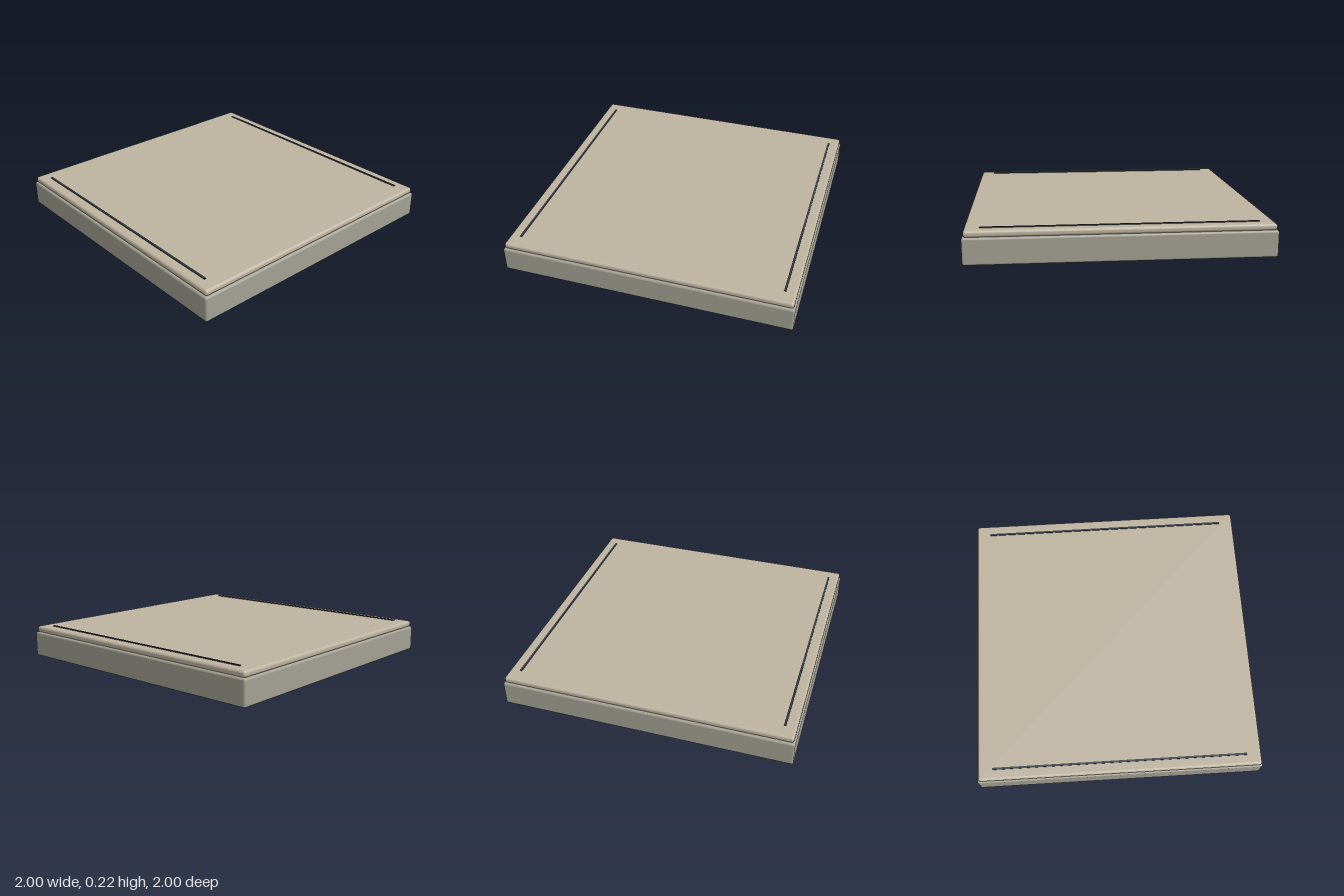
import * as THREE from 'three';
import { RoundedBoxGeometry } from 'three/addons/geometries/RoundedBoxGeometry.js';

export function createModel() {
  const group = new THREE.Group();
  const baseMat = new THREE.MeshStandardMaterial({ color: 0xa3a193 });
  const slabMat = new THREE.MeshStandardMaterial({ color: 0xbdb3a0 });
  const stripMat = new THREE.MeshStandardMaterial({ color: 0x34404a });

  const add = (name, geometry, material, y, z = 0) => {
    const mesh = new THREE.Mesh(geometry, material);
    mesh.name = name;
    mesh.position.set(0, y, z);
    group.add(mesh);
  };

  // Plinth with softly rounded edges
  add('base', new RoundedBoxGeometry(2, 0.176, 2, 4, 0.014), baseMat, 0.088);

  // Thinner slab with a bullnose edge, slightly inset
  add('topSlab', new RoundedBoxGeometry(1.98, 0.044, 1.98, 4, 0.018), slabMat, 0.197);

  // Thin dark inlay strips along the front and back edges
  for (const side of [1, -1]) {
    add(side > 0 ? 'frontStrip' : 'backStrip',
      new THREE.BoxGeometry(1.78, 0.008, 0.014), stripMat, 0.221, side * 0.912);
  }
  return group;
}
